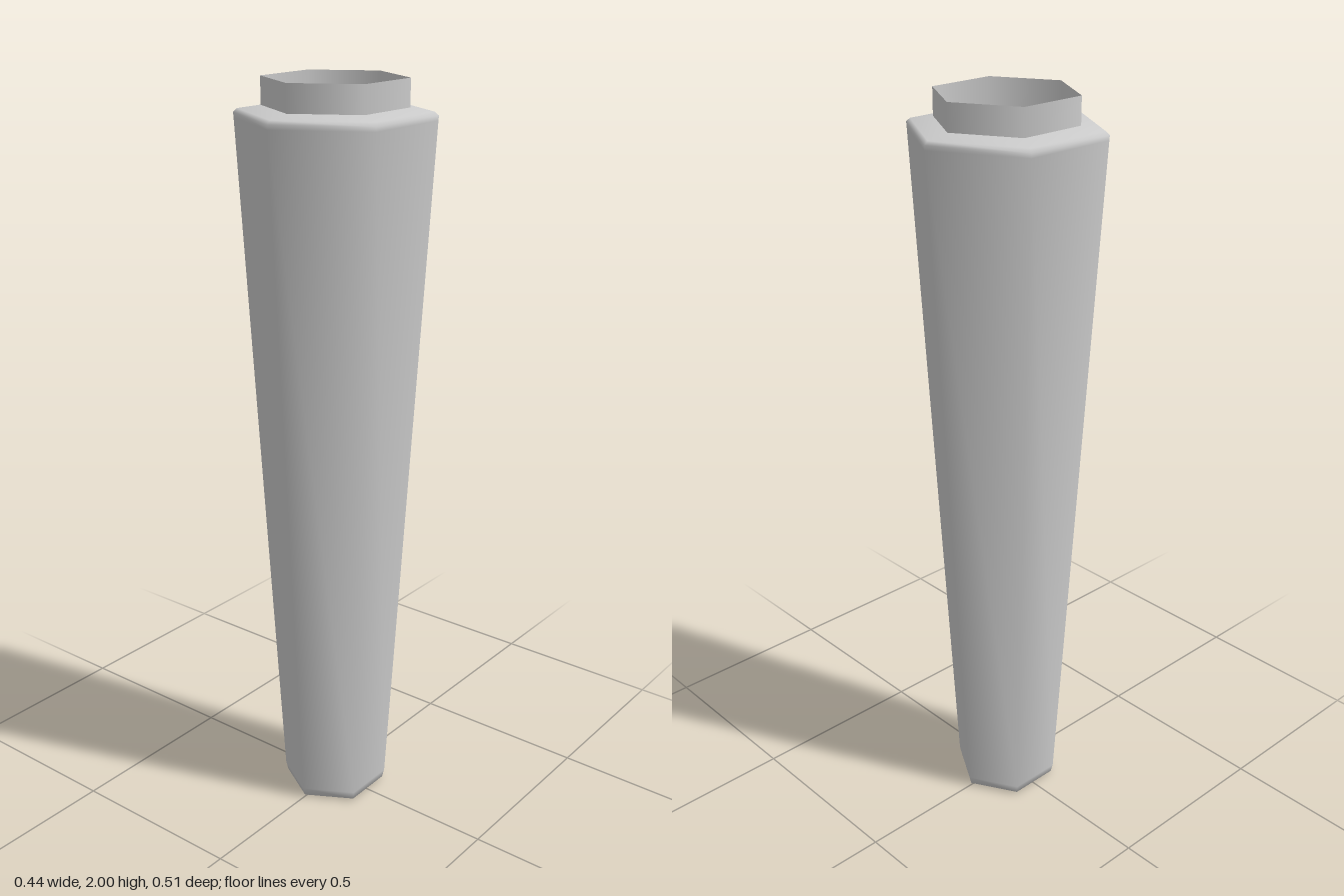
import * as THREE from 'three';

// Six-sided revolved shell with smooth shading; corners point along z
function hexShell(name, profile, material) {
  const points = profile.map(([r, y]) => new THREE.Vector2(r, y));
  const mesh = new THREE.Mesh(new THREE.LatheGeometry(points, 6), material);
  mesh.name = name;
  return mesh;
}

export function createModel() {
  const grey = new THREE.MeshStandardMaterial({ color: 0xcccccc, side: THREE.DoubleSide });
  grey.name = 'light grey';

  const group = new THREE.Group();
  group.name = 'taperedHexLeg';

  // Hollow tapered body with a softly bevelled foot and shoulder
  group.add(hexShell('body', [
    [0, 0], [0.125, 0], [0.14, 0.006], [0.146, 0.03],
    [0.254, 1.9], [0.255, 1.912], [0.245, 1.921], [0.185, 1.93],
  ], grey));

  // Open, thin-walled neck
  group.add(hexShell('neck', [[0.185, 1.928], [0.185, 2]], grey));

  return group;
}
